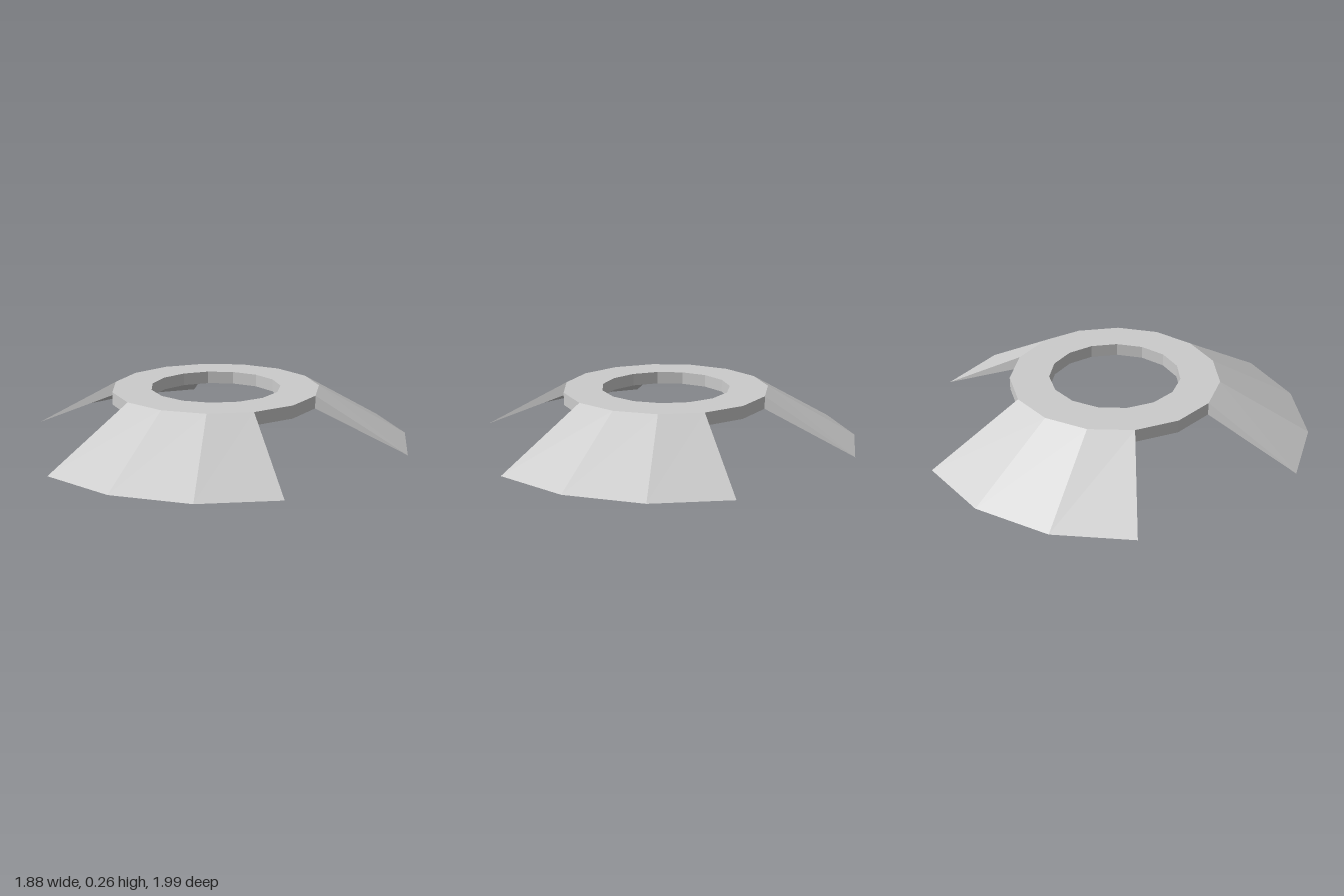
import * as THREE from 'three';

const SIDES = 15, STEP = (2 * Math.PI) / SIDES;
const INNER = 0.335, OUTER = 0.535, TIP = 1.0;
const TOP = 0.265, BOTTOM = 0.2;
const CENTRE_X = -0.04;
const rad = THREE.MathUtils.degToRad;

const polar = (r, angle, y) => [r * Math.cos(angle), y, r * Math.sin(angle)];

// Wedge-shaped vane: three facets from the ring's rim down to a sharp outer edge
function vaneGeometry(rootAngle, tipAngle) {
  const pos = [];
  const tri = (...corners) => corners.forEach((c) => pos.push(...c));
  const section = (i) => {
    const root = rootAngle + (i - 1.5) * STEP;
    const tip = tipAngle + (i - 1.5) * rad(22.45);
    return { top: polar(OUTER, root, TOP), low: polar(OUTER, root, BOTTOM), tip: polar(TIP, tip, 0) };
  };
  for (let i = 0; i < 3; i++) {
    const a = section(i), b = section(i + 1);
    tri(a.top, b.top, b.tip);
    tri(a.top, b.tip, a.tip);
    tri(a.low, b.tip, b.low);
    tri(a.low, a.tip, b.tip);
  }
  // triangular side walls
  const first = section(0), last = section(3);
  tri(first.top, first.tip, first.low);
  tri(last.top, last.low, last.tip);
  const geometry = new THREE.BufferGeometry();
  geometry.setAttribute('position', new THREE.Float32BufferAttribute(pos, 3));
  geometry.computeVertexNormals();
  return geometry;
}

export function createModel() {
  const model = new THREE.Group();
  model.name = 'threeVaneRing';
  const material = new THREE.MeshStandardMaterial({ color: 0xcccccc, flatShading: true });

  const add = (name, geometry) => {
    const mesh = new THREE.Mesh(geometry, material);
    mesh.name = name;
    mesh.position.x = CENTRE_X;
    model.add(mesh);
  };

  // Flat fifteen-sided ring with a square section
  const profile = [[INNER, BOTTOM], [OUTER, BOTTOM], [OUTER, TOP], [INNER, TOP], [INNER, BOTTOM]]
    .map(([x, y]) => new THREE.Vector2(x, y));
  add('ring', new THREE.LatheGeometry(profile, SIDES, -Math.PI / 2));

  // Three vanes a third of a turn apart, the rear one slightly twisted
  add('leftVane', vaneGeometry(0, 0));
  add('frontRightVane', vaneGeometry(rad(120), rad(120.1)));
  add('backRightVane', vaneGeometry(rad(240), rad(242)));

  return model;
}
